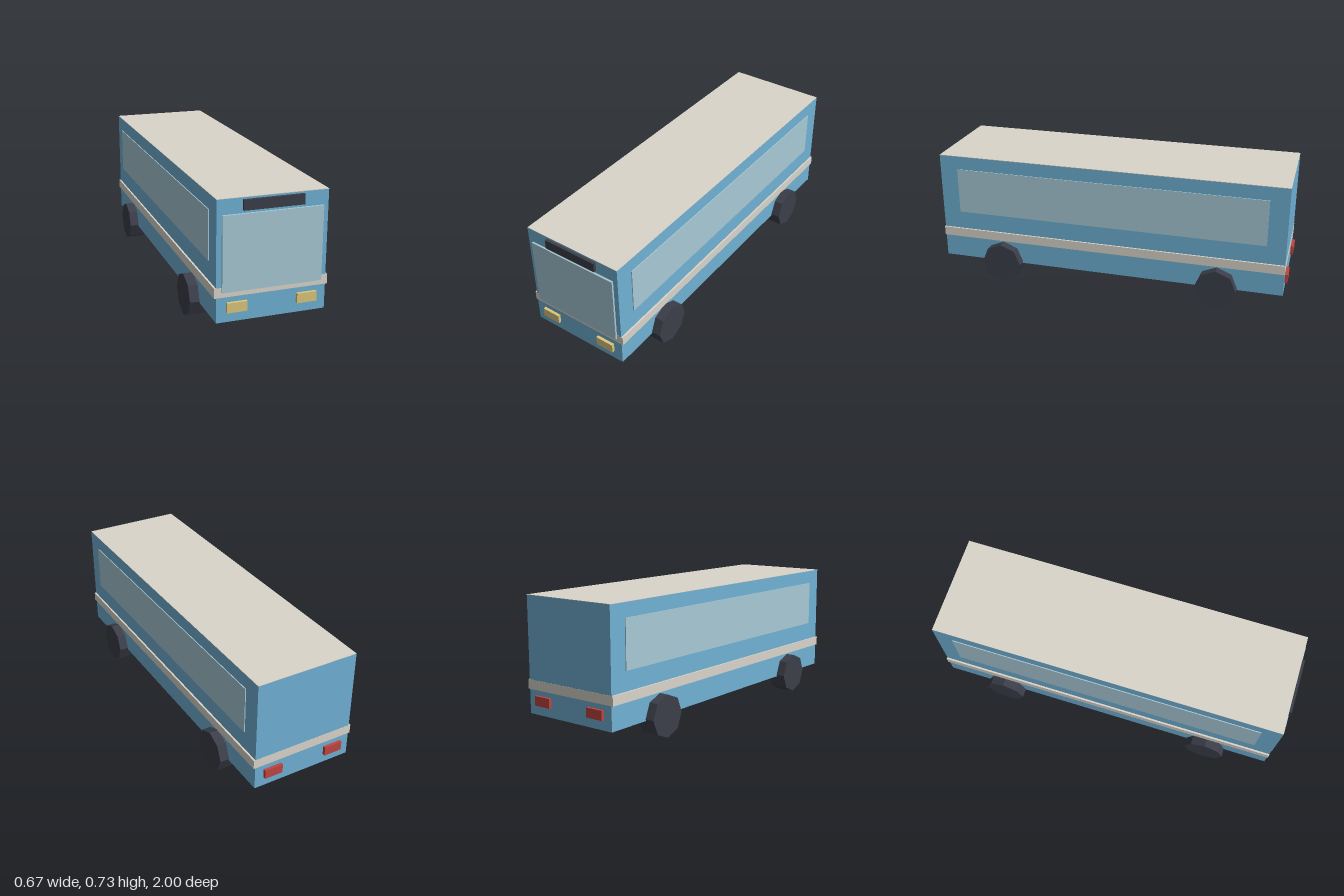
import * as THREE from 'three';

const mat = (color) => new THREE.MeshStandardMaterial({ color, flatShading: true });

export function createModel() {
  const bus = new THREE.Group();
  bus.name = 'bus';
  const blue = mat(0x6fb1d4), cream = mat(0xdad5ca), glass = mat(0xa8c9d6);
  const dark = mat(0x3b3e49), yellow = mat(0xdac67c), red = mat(0xc0443f);

  // Box given by its minimum and maximum corners
  const box = (name, material, [x0, y0, z0], [x1, y1, z1]) => {
    const mesh = new THREE.Mesh(new THREE.BoxGeometry(x1 - x0, y1 - y0, z1 - z0), material);
    mesh.position.set((x0 + x1) / 2, (y0 + y1) / 2, (z0 + z1) / 2);
    mesh.name = name;
    bus.add(mesh);
  };

  // Body shell with a cream roof face and a trim band all round
  box('body', blue, [-0.285, 0.105, -0.984], [0.285, 0.725, 0.984]);
  box('roof', cream, [-0.285, 0.724, -0.984], [0.285, 0.727, 0.984]);
  box('trimBand', cream, [-0.295, 0.235, -0.985], [0.295, 0.286, 0.985]);

  // Windscreen and destination sign
  box('windscreen', glass, [-0.258, 0.262, 0.98], [0.258, 0.648, 0.995]);
  box('destinationSign', dark, [-0.155, 0.664, 0.98], [0.155, 0.716, 1]);

  // Eight-sided wheels, axle along x
  const wheelGeometry = new THREE.CylinderGeometry(0.114, 0.114, 0.103, 8).rotateZ(Math.PI / 2);

  for (const [side, s] of [['left', 1], ['right', -1]]) {
    const span = (a, b) => (s > 0 ? [a, b] : [-b, -a]);
    const [w0, w1] = span(0.28, 0.29);
    box(side + 'Window', glass, [w0, 0.39, -0.88], [w1, 0.649, 0.88]);

    const [l0, l1] = span(0.13, 0.234);
    box(side + 'Headlight', yellow, [l0, 0.157, 0.98], [l1, 0.208, 1]);
    box(side + 'TailLight', red, [l0, 0.157, -1], [l1, 0.208, -0.98]);

    for (const [end, z] of [['Front', 0.622], ['Rear', -0.622]]) {
      const wheel = new THREE.Mesh(wheelGeometry, dark);
      wheel.position.set(s * 0.285, 0.114, z);
      wheel.name = side + end + 'Wheel';
      bus.add(wheel);
    }
  }
  return bus;
}
